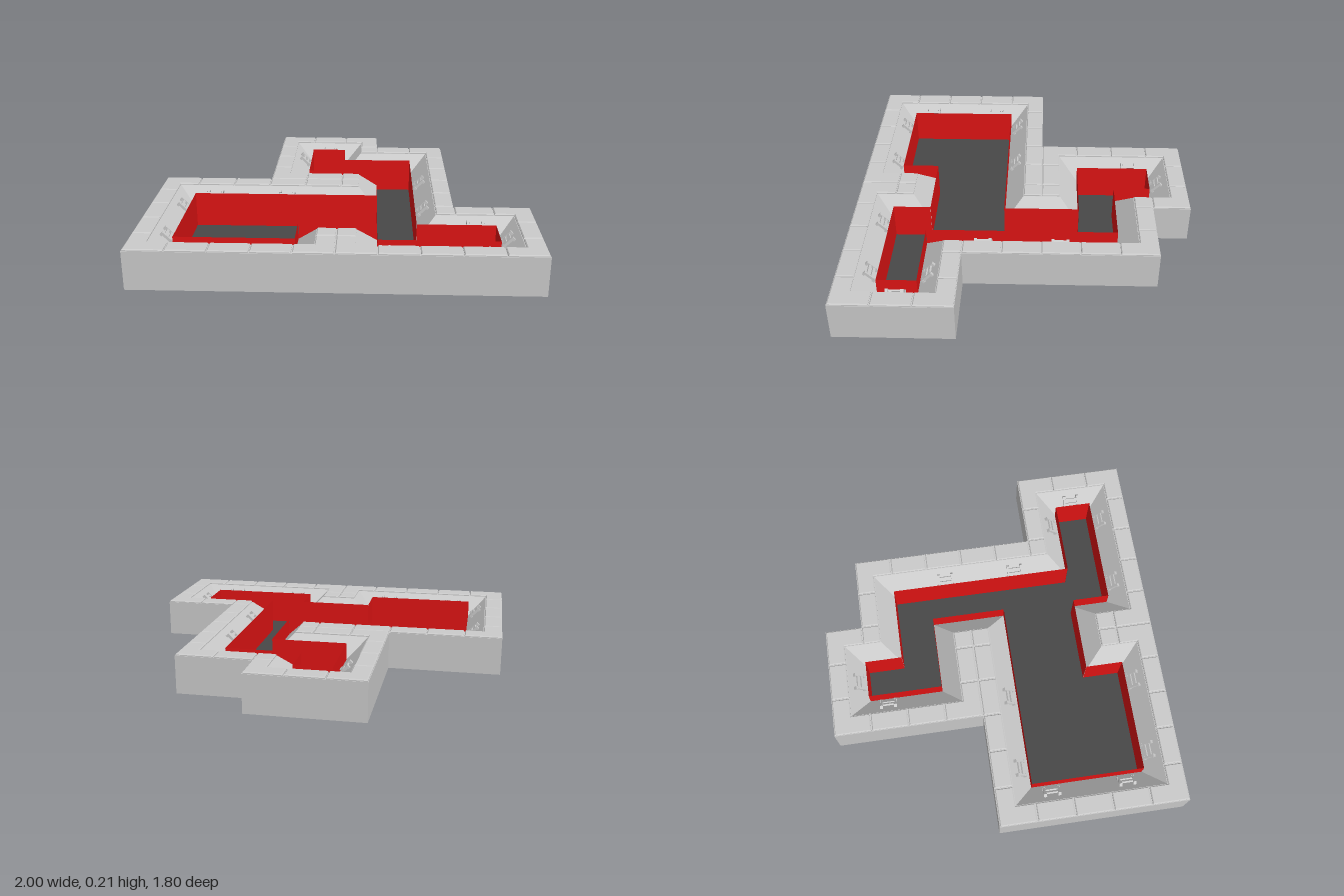
import * as THREE from 'three';

// Plan in 0.2 cells, back row first: # wall, f floor, . empty
const PLAN = [
  '...###....',
  '...#f###..',
  '...#fff#..',
  '...###f#..',
  '######f#..',
  '#ffffff#..',
  '#ffffff###',
  '#fff##fff#',
  '##########'];
const CELL = 0.2, Q = 0.1, HIGH = 0.2, LOW = 0.1;
const cell = (i, j) => PLAN[j]?.[i] ?? '.';
const quarter = (a, b) => cell(Math.floor(a / 2), Math.floor(b / 2));
const px = a => -1 + a * Q;
const pz = b => -0.9 + b * Q;
const DIRS = [[1, 0], [-1, 0], [0, 1], [0, -1]];

const mat = (color, side = THREE.FrontSide) =>
  new THREE.MeshStandardMaterial({ color, side, flatShading: true });

function named(geometry, material, name) {
  const m = new THREE.Mesh(geometry, material);
  m.name = name;
  return m;
}

// Collects quads and triangles into one geometry
function faceBuilder() {
  const pos = [];
  const tri = (...pts) => pts.forEach(p => pos.push(...p));
  return {
    tri,
    quad: (a, b, c, d) => { tri(a, b, c); tri(a, c, d); },
    build() {
      const g = new THREE.BufferGeometry();
      g.setAttribute('position', new THREE.Float32BufferAttribute(pos, 3));
      g.computeVertexNormals();
      return g;
    }
  };
}

// A grid corner is low where it touches the floor
function cornerHeight(a, b) {
  for (const [da, db] of [[0, 0], [-1, 0], [0, -1], [-1, -1]])
    if (quarter(a + da, b + db) === 'f') return LOW;
  return HIGH;
}

// Vertical quad along the side (dx, dz) of a square, facing outward
function sideQuad(f, cx, cz, half, dx, dz, top, off = 0) {
  const mx = cx + dx * (half + off), mz = cz + dz * (half + off);
  const tx = dz * half, tz = -dx * half;
  f.quad([mx - tx, 0, mz - tz], [mx + tx, 0, mz + tz],
    [mx + tx, top, mz + tz], [mx - tx, top, mz - tz]);
}

// Wall body with mitred 45 degree slopes toward the floor
function wallGeometry() {
  const f = faceBuilder();
  for (let b = 0; b < 18; b++) for (let a = 0; a < 20; a++) {
    if (quarter(a, b) !== '#') continue;
    const P = (u, v) => [px(a + u), cornerHeight(a + u, b + v), pz(b + v)];
    const A = P(0, 0), B = P(0, 1), C = P(1, 1), D = P(1, 0);
    if (A[1] !== C[1]) f.quad(A, B, C, D);
    else f.quad(B, C, D, A);
    f.quad([A[0], 0, A[2]], [D[0], 0, D[2]], [C[0], 0, C[2]], [B[0], 0, B[2]]);
    for (const [dx, dz] of DIRS) {
      const n = quarter(a + dx, b + dz);
      if (n !== '#') sideQuad(f, px(a + 0.5), pz(b + 0.5), Q / 2, dx, dz, n === 'f' ? LOW : HIGH);
    }
  }
  return f.build();
}

// Cap stones: the part of each wall cell that is not sloped
function isTop(a, b) {
  for (let u = -1; u <= 1; u++) for (let v = -1; v <= 1; v++)
    if (quarter(a + u, b + v) === 'f') return false;
  return true;
}

function capGeometry(i, j) {
  const on = (u, v) => isTop(2 * i + u, 2 * j + v);
  const g = 0.008, m = Q - g, mid = Q;
  const quads = [[0, 0], [1, 0], [1, 1], [0, 1]].filter(([u, v]) => on(u, v));
  if (!quads.length) return null;
  let pts;
  if (quads.length === 3) {
    // L shape, turned so that the missing quarter is at the far corner
    const [mu, mv] = [[0, 0], [1, 0], [1, 1], [0, 1]].find(([u, v]) => !on(u, v));
    const e = CELL - g;
    pts = [[g, g], [e, g], [e, m], [m, m], [m, e], [g, e]]
      .map(([x, z]) => [mu ? x : CELL - x, mv ? z : CELL - z]);
  } else {
    const us = quads.map(q => q[0]), vs = quads.map(q => q[1]);
    const x0 = Math.min(...us) * mid + g, x1 = (Math.max(...us) + 1) * mid - g;
    const z0 = Math.min(...vs) * mid + g, z1 = (Math.max(...vs) + 1) * mid - g;
    pts = [[x0, z0], [x1, z0], [x1, z1], [x0, z1]];
  }
  const shape = new THREE.Shape(pts.map(([x, z]) => new THREE.Vector2(x, -z)));
  const geo = new THREE.ExtrudeGeometry(shape, {
    depth: 0.007, bevelEnabled: true, bevelSegments: 1, bevelSize: 0.005, bevelThickness: 0.005
  });
  geo.rotateX(-Math.PI / 2);
  geo.translate(px(2 * i), HIGH - 0.002, pz(2 * j));
  return geo;
}

// Small rung: two end posts joined by two rails, lying on a slope
function makeRung(material) {
  const rung = new THREE.Group();
  rung.name = 'rung';
  for (const s of [-1, 1]) {
    const post = named(new THREE.BoxGeometry(0.01, 0.014, 0.06), material, 'rungPost');
    post.position.set(s * 0.038, 0.012, 0);
    const rail = named(new THREE.BoxGeometry(0.076, 0.01, 0.014), material, 'rungRail');
    rail.position.set(0, 0.012, s * 0.013);
    rung.add(post, rail);
    for (const e of [-1, 1]) {
      const foot = named(new THREE.BoxGeometry(0.016, 0.022, 0.012), material, 'rungFoot');
      foot.position.set(s * 0.038, 0.009, e * 0.03);
      rung.add(foot);
    }
  }
  return rung;
}

export function createModel() {
  const model = new THREE.Group();
  model.name = 'walledCourt';
  const grey = mat(0xcccccc);

  model.add(named(wallGeometry(), grey, 'slopedWall'));

  const caps = new THREE.Group();
  caps.name = 'capStones';
  const floor = faceBuilder(), lining = faceBuilder();
  for (let j = 0; j < 9; j++) for (let i = 0; i < 10; i++) {
    const x = px(2 * i), z = pz(2 * j);
    if (cell(i, j) === '#') {
      const geo = capGeometry(i, j);
      if (geo) caps.add(named(geo, grey, 'capStone'));
    } else if (cell(i, j) === 'f') {
      floor.quad([x, 0, z], [x, 0, z + CELL], [x + CELL, 0, z + CELL], [x + CELL, 0, z]);
      for (const [dx, dz] of DIRS)
        if (cell(i + dx, j + dz) === '#')
          sideQuad(lining, x + Q, z + Q, Q, dx, dz, 0.19, -0.001);
    }
  }
  model.add(caps);
  model.add(named(floor.build(), mat(0x484848, THREE.DoubleSide), 'floor'));
  model.add(named(lining.build(), mat(0xe01414, THREE.DoubleSide), 'redLining'));

  // Rungs on the slopes: x, z, then the quarter turn of the slope (0 faces front)
  const spots = [
    [-0.1, -0.75, 0], [-0.7, 0.05, 0], [-0.3, 0.05, 0], [0.7, 0.45, 0],
    [-0.25, -0.6, 1], [-0.85, 0.2, 1], [-0.85, 0.6, 1],
    [-0.7, 0.75, 2], [-0.3, 0.75, 2], [0.3, 0.75, 2], [0.7, 0.75, 2],
    [0.45, -0.2, 3], [0.45, 0.2, 3], [0.85, 0.6, 3]];
  const rungs = new THREE.Group();
  rungs.name = 'rungs';
  for (const [x, z, turn] of spots) {
    const rung = makeRung(grey);
    rung.rotation.set(Math.PI / 4, turn * Math.PI / 2, 0, 'YXZ');
    rung.position.set(x, (HIGH + LOW) / 2, z);
    rungs.add(rung);
  }
  model.add(rungs);
  return model;
}
